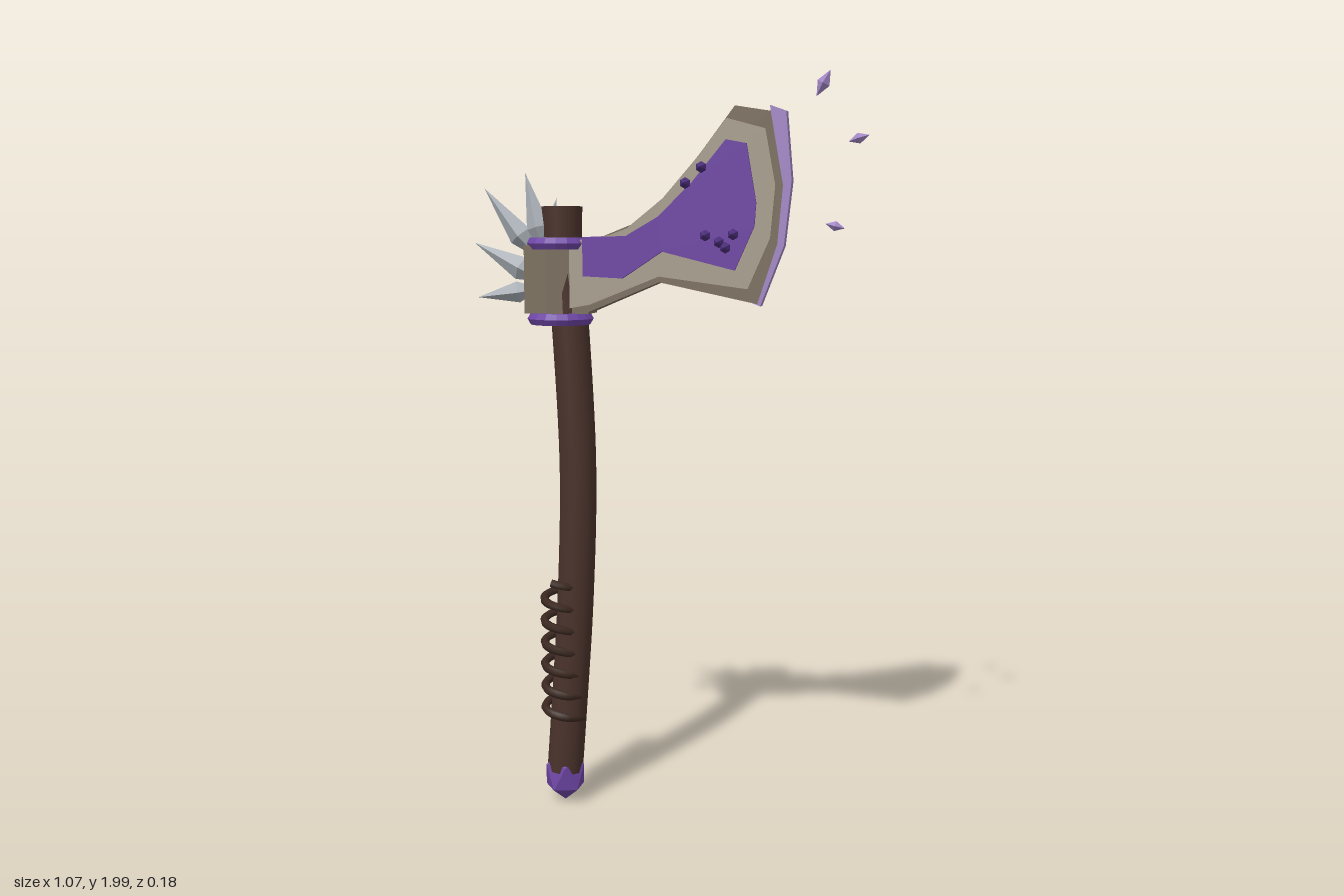
import * as THREE from 'three';

const mat = (name, color, flatShading = true) => {
  const m = new THREE.MeshStandardMaterial({ color, flatShading });
  m.name = name;
  return m;
};

export function createModel() {
  const wood = mat('dark wood', 0x4a322b, false);
  const cord = mat('cord brown', 0x3b2820, false);
  const purple = mat('purple', 0x6f46a6);
  const crystal = mat('dark crystal', 0x4d2f7c);
  const lavender = mat('lavender', 0xa488c6);
  const steel = mat('spike grey', 0xa9b0b6);
  const darkStone = mat('dark taupe', 0x7c7060);
  const lightStone = mat('light taupe', 0xa99f8e);

  const root = new THREE.Group();
  root.name = 'battleAxe';
  const add = (name, geo, material, parent = root) => {
    const mesh = new THREE.Mesh(geo, material);
    mesh.name = name;
    parent.add(mesh);
    return mesh;
  };
  const group = (name) => {
    const g = new THREE.Group();
    g.name = name;
    root.add(g);
    return g;
  };
  const V = (x, y, z = 0) => new THREE.Vector3(x, y, z);

  // Curved handle with closed ends
  const path = new THREE.CatmullRomCurve3([
    V(-0.28, 0.1), V(-0.265, 0.3), V(-0.245, 0.6), V(-0.235, 0.95),
    V(-0.25, 1.3), V(-0.265, 1.5), V(-0.275, 1.66),
  ]);
  const handle = group('handle');
  add('handleShaft', new THREE.TubeGeometry(path, 28, 0.05, 16), wood, handle);
  for (const [t, s] of [[0, -1], [1, 1]]) {
    const cap = add('handleCap', new THREE.CircleGeometry(0.05, 16), wood, handle);
    const p = path.getPointAt(t);
    cap.position.copy(p);
    cap.lookAt(p.clone().addScaledVector(path.getTangentAt(t), s));
  }
  const rim = add('handleTop', new THREE.CylinderGeometry(0.055, 0.053, 0.08, 16), wood, handle);
  rim.position.set(-0.274, 1.622, 0);

  // Cord wound around the grip
  const coil = [];
  const turns = 6.3;
  for (let i = 0; i <= 100; i++) {
    const a = (i / 100) * turns * Math.PI * 2;
    coil.push(V(-0.28 + Math.cos(a) * 0.053, 0.255 + 0.39 * i / 100, Math.sin(a) * 0.055));
  }
  add('gripCord', new THREE.TubeGeometry(new THREE.CatmullRomCurve3(coil), 150, 0.012, 6), cord);

  // Faceted pommel gem, point down
  const gem = new THREE.IcosahedronGeometry(0.062);
  gem.rotateZ(-0.5536);
  gem.scale(1, 1.22, 1);
  add('pommelGem', gem, purple).position.set(-0.28, 0.085, 0);

  // Collars above and below the socket
  for (const y of [1.565, 1.365]) {
    const ring = add('collar', new THREE.TorusGeometry(0.071, 0.018, 6, 18), purple);
    ring.rotation.x = Math.PI / 2;
    ring.position.set(-0.28, y, 0);
  }

  // Faceted socket around the handle
  const toShape = (pts) => new THREE.Shape(pts.map(([x, y]) => new THREE.Vector2(x, y)));
  const half = [[-0.365, 0.05], [-0.3, 0.06], [-0.24, 0.045], [-0.19, 0.04]];
  const socketShape = toShape([...half, ...half.map(([x, z]) => [x, -z]).reverse()]);
  const socket = new THREE.ExtrudeGeometry(socketShape, { depth: 0.18, bevelEnabled: false });
  socket.rotateX(-Math.PI / 2);
  add('socket', socket, darkStone).position.y = 1.38;

  // Blade layers: extruded outlines whose thickness tapers along x
  const wedge = (pts, thickness) => {
    const g = new THREE.ExtrudeGeometry(toShape(pts), { depth: 2, bevelEnabled: false });
    const p = g.attributes.position;
    for (let i = 0; i < p.count; i++) p.setZ(i, (p.getZ(i) - 1) * thickness(p.getX(i)));
    g.computeVertexNormals();
    return g;
  };
  const blade = group('blade');
  add('bladeBody', wedge([
    [-0.24, 1.385], [-0.19, 1.385], [0, 1.465], [0.26, 1.41], [0.31, 1.566], [0.323, 1.714],
    [0.29, 1.9], [0.196, 1.915], [0.11, 1.8], [0.02, 1.69], [-0.06, 1.62], [-0.13, 1.592], [-0.24, 1.55],
  ], (x) => 0.037 - 0.06 * (x + 0.13)), darkStone, blade);
  add('bladeFace', wedge([
    [-0.24, 1.395], [-0.185, 1.405], [0, 1.48], [0.233, 1.449], [0.29, 1.58], [0.302, 1.714],
    [0.275, 1.857], [0.175, 1.884], [0.106, 1.793], [0.01, 1.682], [-0.085, 1.605], [-0.13, 1.588], [-0.24, 1.57],
  ], (x) => 0.041 - 0.06 * (x + 0.13)), lightStone, blade);
  add('bladeInlay', wedge([
    [-0.2, 1.48], [-0.095, 1.475], [0.01, 1.545], [0.2, 1.497], [0.25, 1.61], [0.254, 1.67],
    [0.228, 1.82], [0.175, 1.83], [0.09, 1.725], [0, 1.635], [-0.085, 1.585], [-0.2, 1.582],
  ], (x) => 0.06 - 0.08 * (x + 0.2)), purple, blade);
  add('cuttingEdge', wedge([
    [0.24, 1.415], [0.266, 1.405], [0.326, 1.56], [0.344, 1.725], [0.328, 1.9], [0.286, 1.915],
    [0.29, 1.89], [0.322, 1.714], [0.309, 1.566], [0.258, 1.41],
  ], () => 0.016), lavender, blade);

  // Pointed spindle between two points, widest at a given fraction
  const spindle = (name, from, to, r, widest, sides, material, parent) => {
    const len = from.distanceTo(to);
    const g = new THREE.LatheGeometry([
      new THREE.Vector2(0, 0), new THREE.Vector2(r, len * widest), new THREE.Vector2(0, len),
    ], sides);
    const m = add(name, g, material, parent);
    m.position.copy(from);
    m.quaternion.setFromUnitVectors(V(0, 1), to.clone().sub(from).normalize());
  };

  // Back spikes
  const spikes = group('spikes');
  for (const [a, b, r] of [
    [V(-0.31, 1.53, 0.02), V(-0.37, 1.75, 0.015), 0.034],
    [V(-0.33, 1.52, 0.01), V(-0.48, 1.71, 0.03), 0.034],
    [V(-0.32, 1.46, -0.015), V(-0.535, 1.565, -0.035), 0.034],
    [V(-0.33, 1.445, 0.01), V(-0.505, 1.42, 0.025), 0.03],
    [V(-0.33, 1.55, -0.025), V(-0.297, 1.685, -0.03), 0.02],
  ]) spindle('spike', a, b, r, 0.35, 5, steel, spikes);

  // Small crystals growing from both blade faces
  const crystals = group('bladeCrystals');
  const front = [[0.074, 1.72], [0.116, 1.76], [0.127, 1.587], [0.163, 1.57], [0.2, 1.59], [0.18, 1.556]];
  const back = [[0.22, 1.78], [0.205, 1.7], [0.155, 1.71], [0.1, 1.69], [0.115, 1.63], [0.045, 1.57], [0.02, 1.62]];
  for (const [list, s] of [[front, 1], [back, -1]]) {
    for (const [x, y] of list) {
      spindle('bladeCrystal', V(x, y, 0.025 * s), V(x, y, 0.077 * s), 0.015, 0.5, 6, crystal, crystals);
    }
  }

  // Shards floating off the cutting edge
  const shards = group('floatingShards');
  for (const [a, b, r] of [
    [V(0.402, 1.935), V(0.437, 2), 0.017],
    [V(0.485, 1.822), V(0.537, 1.838), 0.014],
    [V(0.43, 1.617), V(0.48, 1.605), 0.013],
  ]) spindle('shard', a, b, r, 0.5, 4, lavender, shards);

  return root;
}
